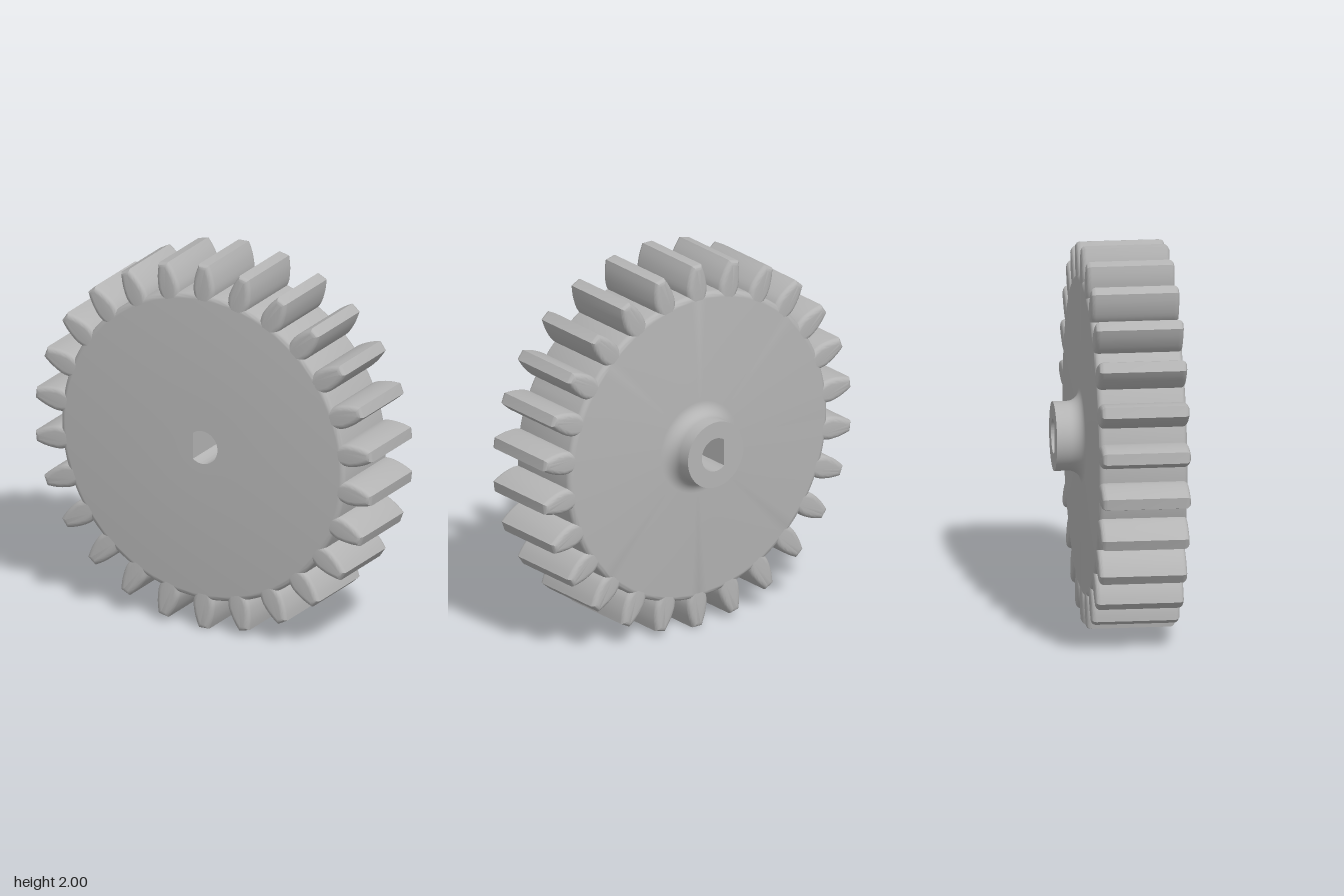
import * as THREE from 'three';
import { toCreasedNormals } from 'three/addons/utils/BufferGeometryUtils.js';

const TEETH = 26, FRONT = 0.3, BACK = -0.16, HUB_BACK = -0.303;
const CORE = 0.12; // radius of the insert that carries the D-shaped bore

export function createModel() {
  const gear = new THREE.Group();
  gear.name = 'gear';
  const grey = new THREE.MeshStandardMaterial({ color: 0xb4b4b4 });
  grey.name = 'plain grey';

  const axle = new THREE.Group(); // gear axis runs along z at mid height
  axle.name = 'wheelAssembly';
  axle.position.y = 1;
  gear.add(axle);

  const add = (name, geometry, parent = axle) => {
    const mesh = new THREE.Mesh(geometry, grey);
    mesh.name = name;
    parent.add(mesh);
    return mesh;
  };

  // Wheel and hub: one turned profile, from the hub's back to the front face
  const profile = [];
  const point = (r, z) => profile.push(new THREE.Vector2(r, z));
  const arc = (r, z, radius, from, to, steps = 8) => {
    for (let i = 0; i <= steps; i++) {
      const a = from + (to - from) * i / steps;
      point(r + radius * Math.cos(a), z + radius * Math.sin(a));
    }
  };
  const edge = 0.03, fillet = 0.07, rim = 0.84;
  point(CORE, HUB_BACK);
  point(0.18, HUB_BACK);
  arc(0.18 + fillet, BACK - fillet, fillet, Math.PI, Math.PI / 2);
  arc(rim - edge, BACK + edge, edge, -Math.PI / 2, 0, 6);
  arc(rim - edge, FRONT - edge, edge, 0, Math.PI / 2, 6);
  point(CORE, FRONT);
  const turned = new THREE.LatheGeometry(profile, 104);
  turned.rotateX(Math.PI / 2);
  add('wheelAndHub', toCreasedNormals(turned, 0.6));

  // Core with the D-shaped bore, flat towards -x
  const core = new THREE.Shape().absarc(0, 0, CORE, 0, Math.PI * 2);
  const bore = new THREE.Path();
  const flat = Math.acos(-0.055 / 0.09);
  bore.absarc(0, 0, 0.09, -flat, flat, false);
  bore.closePath();
  core.holes.push(bore);
  const coreGeometry = new THREE.ExtrudeGeometry(core, {
    depth: FRONT - HUB_BACK, bevelEnabled: false, curveSegments: 52,
  });
  coreGeometry.translate(0, 0, HUB_BACK);
  add('boreCore', toCreasedNormals(coreGeometry, 0.6));

  // Tooth: curved flanks, narrow flat tip, rounded ends
  const flank = new THREE.SplineCurve([
    [0.044, 0.78], [0.058, 0.83], [0.063, 0.87], [0.056, 0.92], [0.045, 0.96], [0.029, 1],
  ].map(([x, y]) => new THREE.Vector2(x, y))).getPoints(12);
  const outline = [...flank, ...flank.map(p => new THREE.Vector2(-p.x, p.y)).reverse()];
  const round = 0.027;
  const tooth = new THREE.ExtrudeGeometry(new THREE.Shape(outline), {
    depth: FRONT - BACK - 2 * round, bevelThickness: round, bevelSize: round,
    bevelOffset: -round, bevelSegments: 5,
  });
  tooth.translate(0, 0, BACK + round);
  const toothGeometry = toCreasedNormals(tooth, 0.6);
  const teeth = new THREE.Group();
  teeth.name = 'teeth';
  axle.add(teeth);
  for (let i = 0; i < TEETH; i++) {
    add('tooth', toothGeometry, teeth).rotation.z = i * Math.PI * 2 / TEETH;
  }
  return gear;
}
